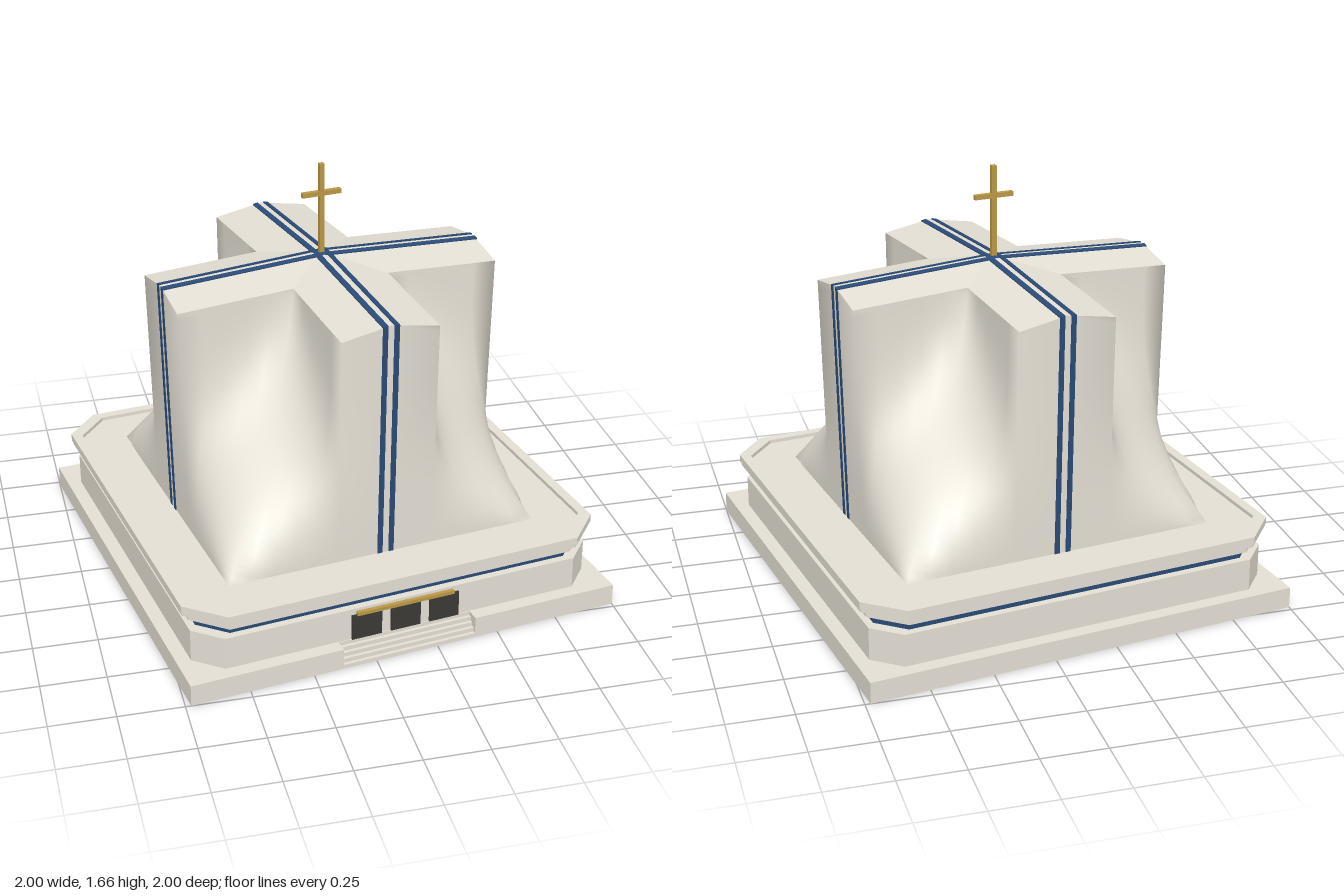
import * as THREE from 'three';

const mat = (name, color, extra = {}) => {
  const m = new THREE.MeshStandardMaterial({ color, ...extra });
  m.name = name;
  return m;
};

const ARM = 0.655, HALF = 0.195;      // roof cross: arm length and half width
const BASE = 0.635, FLOOR = 0.305;    // square foot of the shell
const roofY = (along, across) => 1.305 - 0.0534 * along - 0.18 * across;

export function createModel() {
  const stone = mat('stone', 0xe4dfd4);
  const shellMat = mat('pale shell', 0xe6e1d6, { side: THREE.DoubleSide });
  const blue = mat('blue', 0x2a4a76);
  const gold = mat('gold', 0xbc9848);
  const dark = mat('dark door', 0x3a3934);

  const root = new THREE.Group();
  root.name = 'cathedral';
  const building = new THREE.Group();
  building.name = 'building';
  building.rotation.y = 0.156;
  root.add(building);

  const add = (name, geo, material, parent = building) => {
    const m = new THREE.Mesh(geo, material);
    m.name = name;
    parent.add(m);
    return m;
  };
  // box given by its limits
  const block = (name, x0, x1, y0, y1, z0, z1, material) => add(name,
    new THREE.BoxGeometry(x1 - x0, y1 - y0, z1 - z0)
      .translate((x0 + x1) / 2, (y0 + y1) / 2, (z0 + z1) / 2), material);

  // square outline with cut corners
  const outline = (h, c) => {
    const k = h - c;
    return [[k, -h], [h, -k], [h, k], [k, h], [-k, h], [-h, k], [-h, -k], [-k, -h]]
      .map(([x, y]) => new THREE.Vector2(x, y));
  };
  const tier = (name, h, c, y0, y1, material, hole) => {
    const shape = new THREE.Shape(outline(h, c));
    if (hole) shape.holes.push(new THREE.Path(outline(...hole)));
    const g = new THREE.ExtrudeGeometry(shape, { depth: y1 - y0, bevelEnabled: false });
    add(name, g.rotateX(-Math.PI / 2).translate(0, y0, 0), material);
  };

  // ground plinth with a recess for the entrance stairs
  const P = 0.875, S = 0.273, H = 0.085;
  block('plinthLeft', S, P, 0, H, -P, P, stone);
  block('plinthRight', -P, -S, 0, H, -P, P, stone);
  block('plinthMiddle', -S, S, 0, H, -P, 0.81, stone);
  for (let i = 0; i < 5; i++) {
    block('step', -S, S, i * H / 5, (i + 1) * H / 5, 0.8, P - i * 0.013, stone);
  }

  // podium, blue band and cornice
  tier('podium', 0.82, 0.1, H, 0.215, stone);
  tier('blueBand', 0.79, 0.1, 0.215, 0.25, blue);
  tier('lowerCornice', 0.82, 0.12, 0.25, 0.28, stone);
  tier('terrace', 0.845, 0.135, 0.28, 0.31, stone);
  tier('parapet', 0.85, 0.135, 0.295, 0.325, stone, [0.81, 0.125]);

  // entrance
  for (const x of [-0.158, 0.002, 0.162]) {
    block('door', x - 0.061, x + 0.061, H, 0.19, 0.8, 0.828, dark);
  }
  block('doorCanopy', -0.2, 0.2, 0.19, 0.204, 0.8, 0.836, gold);

  // shell: each corner bay has hyperbolic sections running from arm end to arm end,
  // hollow under the roof cross, straight half way, bulging into a square at the foot
  const bayPoint = (w, d) => {
    const m = 1 - ((1 - d) / d) ** 2;
    const c = (1 - m * w * w / 4) / (1 + Math.sqrt(1 - m + m * m * w * w / 4));
    return [c + w / 2, c - w / 2];
  };
  const SEG = 10, rows = 40, n = 4 * (SEG + 2), pos = [], idx = [];
  for (let r = 0; r <= rows; r++) {
    const s = r / rows;
    const d = Math.max(Math.pow(s, 1.4), 1e-4);
    const reach = THREE.MathUtils.lerp(ARM, BASE, s);
    for (let q = 0; q < 4; q++) {
      const c = [1, 0, -1, 0][q], e = [0, 1, 0, -1][q];
      const put = (u, v, topY) =>
        pos.push(u * c - v * e, THREE.MathUtils.lerp(topY, FLOOR, s), u * e + v * c);
      put(reach, 0, roofY(ARM, 0));
      for (let i = 0; i <= SEG; i++) {
        const w = 1 - 2 * i / SEG;
        const [u, v] = bayPoint(w, d).map(t => HALF + t * (reach - HALF));
        put(u, v, roofY(HALF + Math.abs(w) * (ARM - HALF), HALF));
      }
    }
  }
  for (let r = 0; r < rows; r++) {
    for (let i = 0; i < n; i++) {
      const a = r * n + i, b = r * n + (i + 1) % n;
      idx.push(a, b, a + n, b, b + n, a + n);
    }
  }
  const shell = new THREE.BufferGeometry();
  shell.setAttribute('position', new THREE.Float32BufferAttribute(pos, 3));
  shell.setIndex(idx);
  shell.computeVertexNormals();
  add('shell', shell, shellMat);

  // four gabled roof arms, each with a pair of stripes running down the end wall
  for (let q = 0; q < 4; q++) {
    const arm = new THREE.Group();
    arm.name = 'roofArm';
    arm.rotation.y = q * Math.PI / 2;
    building.add(arm);
    const pts = [];
    const v = (x, z) => [x, roofY(x, Math.abs(z)), z];
    const O = v(0, 0), E = v(ARM, 0);
    for (const s of [1, -1]) {
      const I = v(HALF, s * HALF), C = v(ARM, s * HALF);
      if (s > 0) pts.push(...O, ...I, ...E, ...I, ...C, ...E);
      else pts.push(...O, ...E, ...I, ...I, ...E, ...C);
    }
    const roof = new THREE.BufferGeometry();
    roof.setAttribute('position', new THREE.Float32BufferAttribute(pts, 3));
    roof.computeVertexNormals();
    add('roofPanels', roof, stone, arm);

    for (const s of [1, -1]) {
      const z = s * 0.023;
      const top = new THREE.BoxGeometry(ARM + 0.003, 0.006, 0.021).translate(ARM / 2 + 0.0015, 0.001, z);
      const tp = top.attributes.position;
      for (let i = 0; i < tp.count; i++) {
        tp.setY(i, tp.getY(i) + roofY(tp.getX(i), Math.abs(tp.getZ(i))));
      }
      top.computeVertexNormals();
      add('roofStripe', top, blue, arm);

      const h = 1.267 - FLOOR;
      const wall = new THREE.BoxGeometry(0.008, h, 0.021);
      const wp = wall.attributes.position;
      for (let i = 0; i < wp.count; i++) wp.setX(i, wp.getX(i) + 0.02 * wp.getY(i) / h);
      wall.translate(0.6435, FLOOR + h / 2, z);
      add('wallStripe', wall, blue, arm);
    }
  }

  // rooftop cross
  block('crossPost', -0.01, 0.01, 1.29, 1.665, -0.01, 0.01, gold);
  block('crossBar', -0.08, 0.08, 1.537, 1.555, -0.01, 0.01, gold);

  return root;
}
